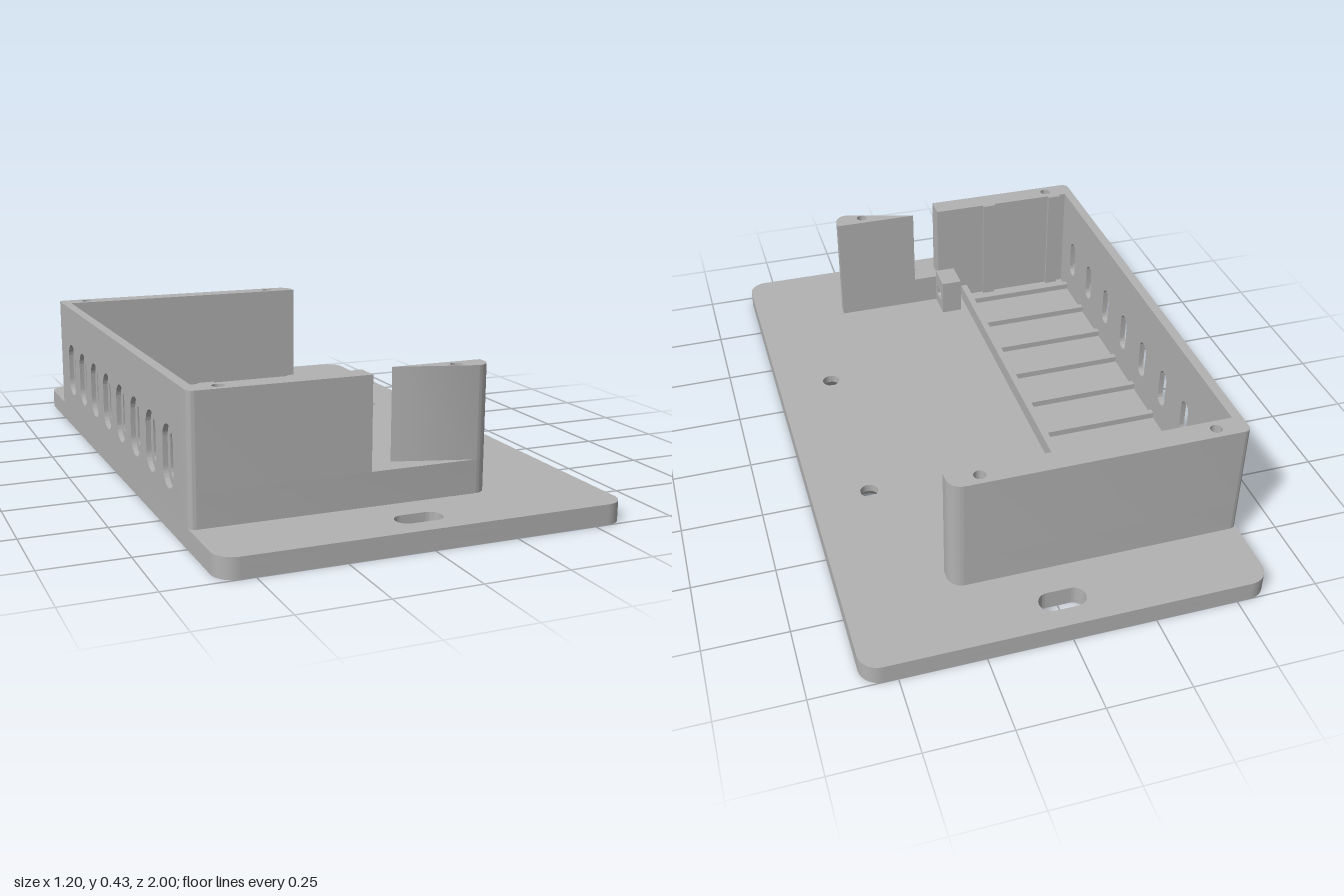
import * as THREE from 'three';
import { toCreasedNormals } from 'three/addons/utils/BufferGeometryUtils.js';

const grey = new THREE.MeshStandardMaterial({ color: 0xb2b2b2 });
grey.name = 'plain grey';

// Rectangle outline; r lists corner radii: [x0y0, x1y0, x1y1, x0y1]
function outline(x0, y0, x1, y1, r = [0, 0, 0, 0], Type = THREE.Shape) {
  const p = new Type();
  const corners = [[x0, y0, 1, 1, Math.PI], [x1, y0, -1, 1, 1.5 * Math.PI],
    [x1, y1, -1, -1, 0], [x0, y1, 1, -1, 0.5 * Math.PI]];
  corners.forEach(([x, y, sx, sy, a], i) => {
    const k = r[i];
    if (k > 0) p.absarc(x + sx * k, y + sy * k, k, a, a + Math.PI / 2, false);
    else if (i === 0) p.moveTo(x, y);
    else p.lineTo(x, y);
  });
  p.closePath();
  return p;
}
const slot = (cx, cy, w, h) =>
  outline(cx - w / 2, cy - h / 2, cx + w / 2, cy + h / 2, Array(4).fill(Math.min(w, h) / 2 - 0.0005), THREE.Path);
const circle = (cx, cy, r) => new THREE.Path().absarc(cx, cy, r, 0, Math.PI * 2, true);

function extrude(shape, depth) {
  return new THREE.ExtrudeGeometry(shape, { depth, bevelEnabled: false, curveSegments: 10 });
}

export function createModel() {
  const model = new THREE.Group();
  model.name = 'enclosureBase';

  const add = (name, geometry, material = grey) => {
    const mesh = new THREE.Mesh(toCreasedNormals(geometry, 0.6), material);
    mesh.name = name;
    model.add(mesh);
  };
  // Plan shape (x, -z) raised from y0 to y1
  const raise = (name, shape, y0, y1) =>
    add(name, extrude(shape, y1 - y0).rotateX(-Math.PI / 2).translate(0, y0, 0));
  // Side shape (z, y) spanning x0 to x1
  const across = (name, shape, x0, x1) =>
    add(name, extrude(shape, x1 - x0).rotateY(-Math.PI / 2).translate(x1, 0, 0));
  const box = (name, x0, x1, y0, y1, z0, z1) =>
    add(name, new THREE.BoxGeometry(x1 - x0, y1 - y0, z1 - z0)
      .translate((x0 + x1) / 2, (y0 + y1) / 2, (z0 + z1) / 2));

  // Base plate in two layers, with mounting slots and countersunk holes
  const plate = (name, y0, y1, holeRadius) => {
    const s = outline(-0.6, -1, 0.6, 1, Array(4).fill(0.06));
    for (const k of [-1, 1]) {
      s.holes.push(slot(0, k * 0.903, 0.14, 0.07), circle(0.42, k * 0.3, holeRadius));
    }
    raise(name, s, y0, y1);
  };
  plate('basePlateLower', 0, 0.035, 0.055);
  plate('basePlateUpper', 0.035, 0.06, 0.028);
  const inside = new THREE.MeshStandardMaterial({ color: 0xb2b2b2, side: THREE.DoubleSide });
  inside.name = 'countersink grey';
  for (const z of [-0.3, 0.3]) {
    add('countersink', new THREE.CylinderGeometry(0.028, 0.055, 0.035, 32, 1, true)
      .translate(0.42, 0.0175, z), inside);
  }

  // End walls: solid lower part, upper parts with screw holes
  const top = 0.432;
  const endWall = (name, front, x0, x1, y0, y1, screws = []) => {
    const rl = x0 === -0.6 ? 0.02 : 0;
    const rr = x1 === 0.29 ? 0.045 : 0;
    const s = front
      ? outline(x0, -0.773, x1, -0.703, [rl, rr, 0, 0])
      : outline(x0, 0.703, x1, 0.773, [0, 0, rr, rl]);
    for (const x of screws) s.holes.push(circle(x, front ? -0.738 : 0.738, 0.018));
    raise(name, s, y0, y1);
  };
  endWall('backWallLower', false, -0.6, 0.29, 0.06, 0.16);
  endWall('backWallUpper', false, -0.6, 0.29, 0.16, top, [-0.505, 0.195]);
  endWall('frontWallLower', true, -0.6, 0.29, 0.06, 0.16);
  endWall('frontWallUpperRight', true, -0.6, -0.078, 0.16, top, [-0.505]);
  endWall('frontWallUpperLeft', true, 0.013, 0.29, 0.16, top, [0.195]);

  // Vented side wall: wide recesses outside, narrow slots inside
  const sideWall = (name, x0, x1, w, h) => {
    const s = outline(-0.703, 0.06, 0.703, top);
    for (let i = 0; i < 8; i++) s.holes.push(slot(-0.588 + i * 0.168, 0.212, w, h));
    across(name, s, x0, x1);
  };
  sideWall('ventWallOuter', -0.6, -0.585, 0.1, 0.18);
  sideWall('ventWallInner', -0.585, -0.57, 0.05, 0.13);

  // Floor rail and cross ribs
  box('floorRail', -0.185, -0.163, 0.06, 0.11, -0.69, 0.69);
  for (let i = 0; i < 8; i++) {
    const z = -0.535 + i * 0.168;
    box('floorRib', -0.57, -0.185, 0.06, 0.08, z - 0.01, z + 0.01);
  }

  // Thin guide strips inside the front wall
  for (const x of [-0.525, -0.273]) box('guideStrip', x - 0.022, x + 0.022, 0.06, top, 0.692, 0.703);

  // Cable tie block with a tunnel through it
  const block = outline(0.605, 0.06, 0.703, 0.184);
  block.holes.push(outline(0.63, 0.098, 0.68, 0.132, [0.006, 0.006, 0.006, 0.006], THREE.Path));
  across('cableTieBlock', block, -0.137, -0.068);

  return model;
}
